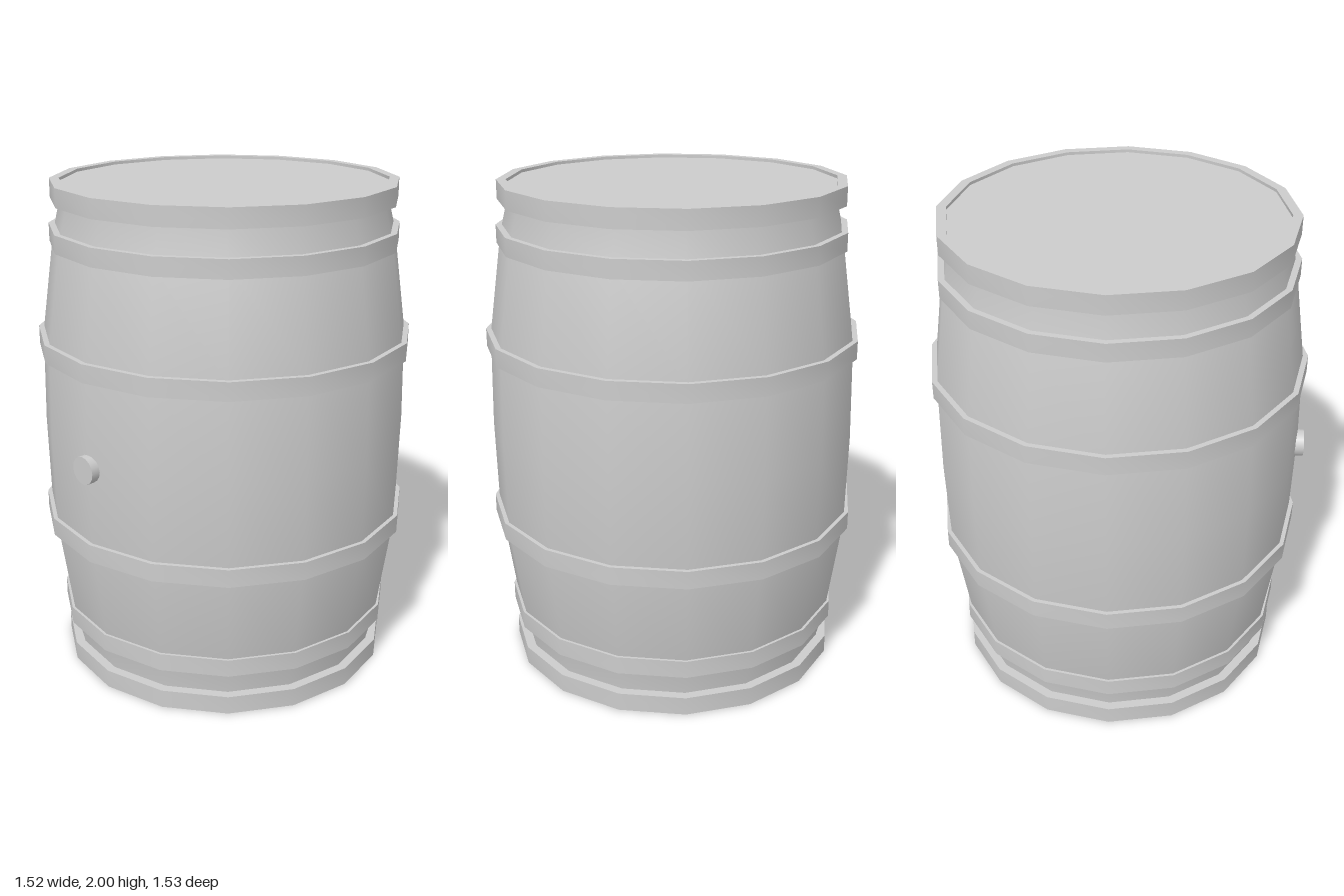
import * as THREE from 'three';
import { toCreasedNormals } from 'three/addons/utils/BufferGeometryUtils.js';

const SIDES = 16;
const material = new THREE.MeshStandardMaterial({ color: 0xcccccc });

function turned(name, profile) {
  const points = profile.map(([r, y]) => new THREE.Vector2(r, y));
  const geometry = toCreasedNormals(new THREE.LatheGeometry(points, SIDES), Math.PI / 6);
  const mesh = new THREE.Mesh(geometry, material);
  mesh.name = name;
  return mesh;
}

// closed metal band with a rectangular section
function hoop(name, inner, outer, y0, y1) {
  return turned(name, [[inner, y0], [outer, y0], [outer, y1], [inner, y1], [inner, y0]]);
}

export function createModel() {
  const model = new THREE.Group();
  model.name = 'barrel';

  const barrel = new THREE.Group();
  barrel.name = 'cask';
  barrel.position.z = -0.005;
  model.add(barrel);

  // bulging body with slightly recessed flat heads, mirrored about y = 1
  const lower = [[0, 0.012], [0.65, 0.012], [0.65, 0.08], [0.682, 0.21], [0.74, 0.62]];
  const upper = lower.map(([r, y]) => [r, 2 - y]).reverse();
  barrel.add(turned('body', [...lower, [0.748, 1], ...upper]));

  // three pairs of hoops
  const hoops = [
    ['endHoop', 0.65, 0.688, 0, 0.075],
    ['quarterHoop', 0.66, 0.698, 0.175, 0.247],
    ['bilgeHoop', 0.72, 0.758, 0.597, 0.67],
  ];
  for (const [name, inner, outer, y0, y1] of hoops) {
    barrel.add(hoop(name + 'Bottom', inner, outer, y0, y1));
    barrel.add(hoop(name + 'Top', inner, outer, 2 - y1, 2 - y0));
  }

  // bung on the front
  const bungGeometry = new THREE.CylinderGeometry(0.056, 0.056, 0.07, 16);
  bungGeometry.rotateX(Math.PI / 2);
  const bung = new THREE.Mesh(bungGeometry, material);
  bung.name = 'bung';
  bung.position.set(0, 0.985, 0.733);
  model.add(bung);

  return model;
}
